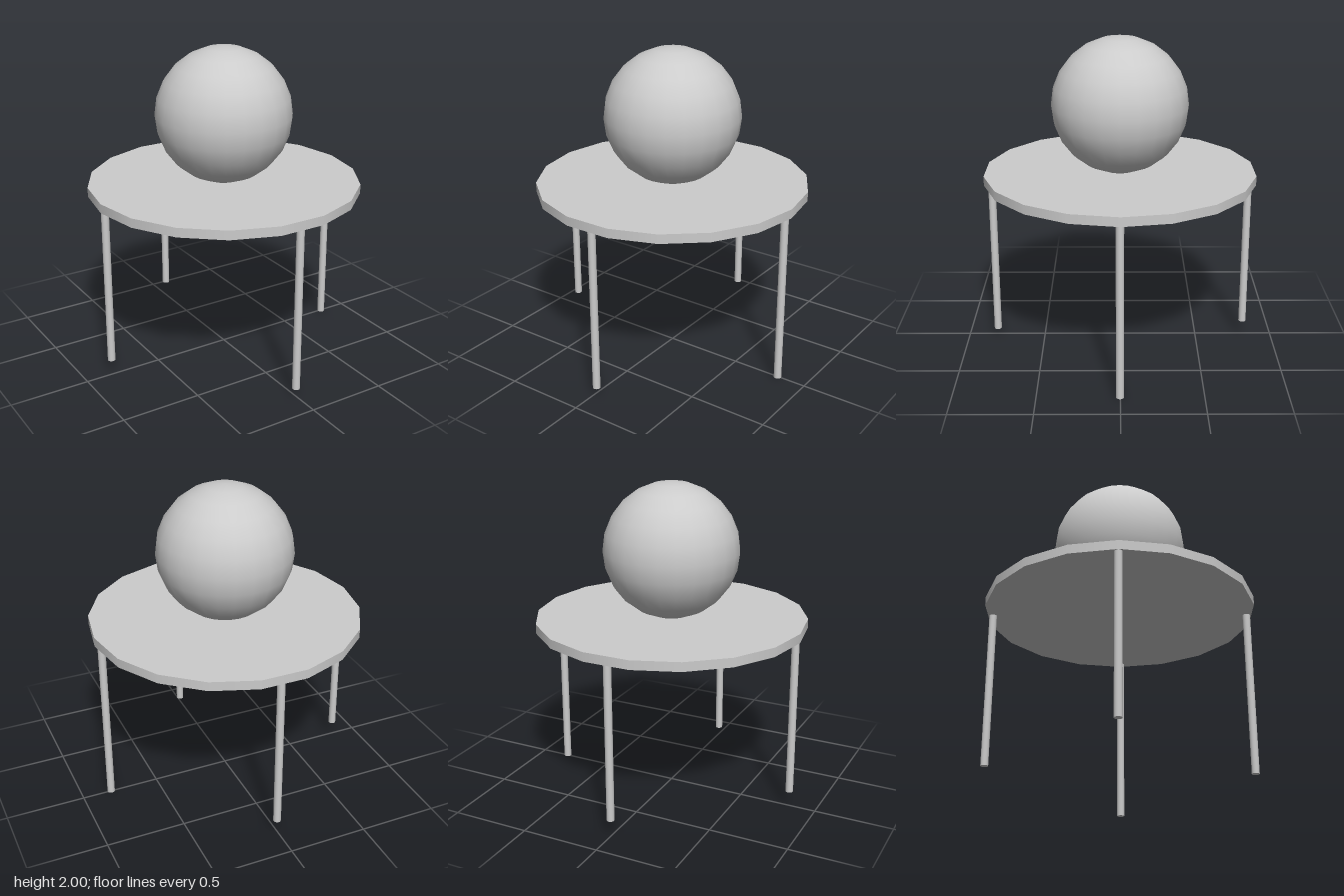
import * as THREE from 'three';

export function createModel() {
  const group = new THREE.Group();
  const material = new THREE.MeshStandardMaterial({ color: 0xcccccc });

  function add(name, geometry, x, y, z) {
    const mesh = new THREE.Mesh(geometry, material);
    mesh.name = name;
    mesh.position.set(x, y, z);
    group.add(mesh);
    return mesh;
  }

  // Round table top with 18 sides, one corner on the x axis
  const underside = 1.097;
  const topHeight = 1.155;
  add('tableTop',
    new THREE.CylinderGeometry(0.855, 0.855, topHeight - underside, 18, 1, false, Math.PI / 2),
    0, (topHeight + underside) / 2, 0);

  // Ball resting on the table, sunk in very slightly
  const ballRadius = 0.426;
  add('ball', new THREE.SphereGeometry(ballRadius, 24, 12), 0, 2 - ballRadius, 0);

  // Four thin legs of uneven length: name, x, z, height of the foot
  const legs = [
    ['leftLeg', 0.813, 0.003, 0],
    ['rightLeg', -0.828, -0.003, 0.103],
    ['frontLeg', 0.008, 0.811, 0.048],
    ['backLeg', 0.008, -0.811, 0.1],
  ];
  for (const [name, x, z, foot] of legs) {
    const length = underside - foot;
    add(name, new THREE.CylinderGeometry(0.024, 0.024, length, 18), x, foot + length / 2, z);
  }

  return group;
}
